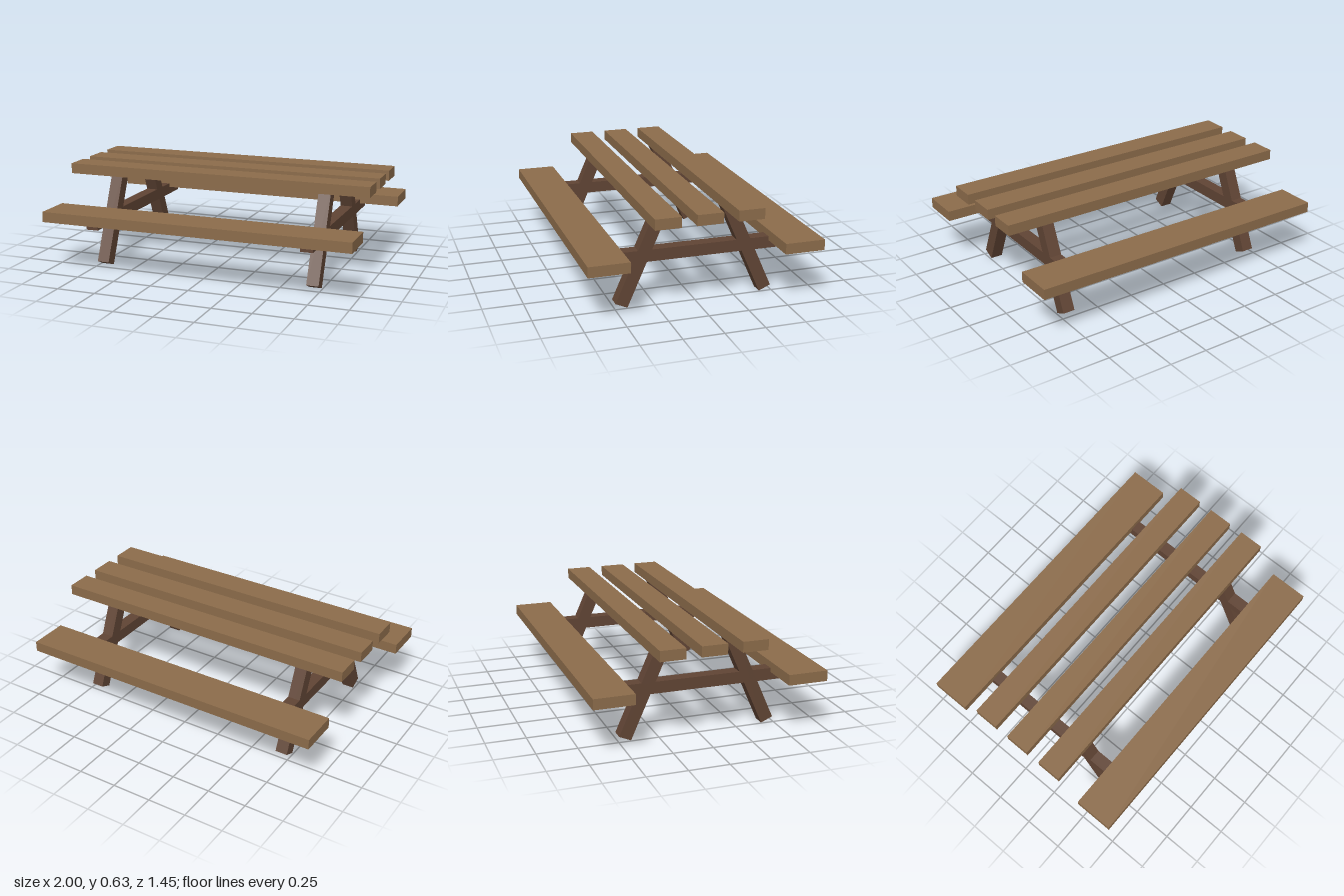
import * as THREE from 'three';

export function createModel() {
  const model = new THREE.Group();
  model.name = 'picnicTable';

  const plankWood = new THREE.MeshStandardMaterial({ color: 0x8b6b4a });
  plankWood.name = 'plankWood';
  const frameWood = new THREE.MeshStandardMaterial({ color: 0x604434 });
  frameWood.name = 'frameWood';

  function addBeam(name, material, size, position, tilt = 0) {
    const mesh = new THREE.Mesh(new THREE.BoxGeometry(...size), material);
    mesh.name = name;
    mesh.position.set(...position);
    mesh.rotation.x = tilt;
    model.add(mesh);
  }

  // Three planks of the table top
  for (const z of [-0.253, 0, 0.253]) {
    addBeam('tablePlank', plankWood, [2, 0.066, 0.16], [0, 0.597, z]);
  }

  // Bench seat on each long side
  for (const side of [-1, 1]) {
    addBeam('benchSeat', plankWood, [2, 0.066, 0.25], [0, 0.36, side * 0.599]);
  }

  // Two end frames: a crossbeam and a pair of splayed legs
  const legTilt = 0.414;
  for (const x of [-0.703, 0.703]) {
    addBeam('crossbeam', frameWood, [0.078, 0.074, 1.254], [x, 0.315, 0]);
    for (const side of [-1, 1]) {
      addBeam('leg', frameWood, [0.078, 0.617, 0.08], [x, 0.299, side * 0.3345], -side * legTilt);
    }
  }

  return model;
}
